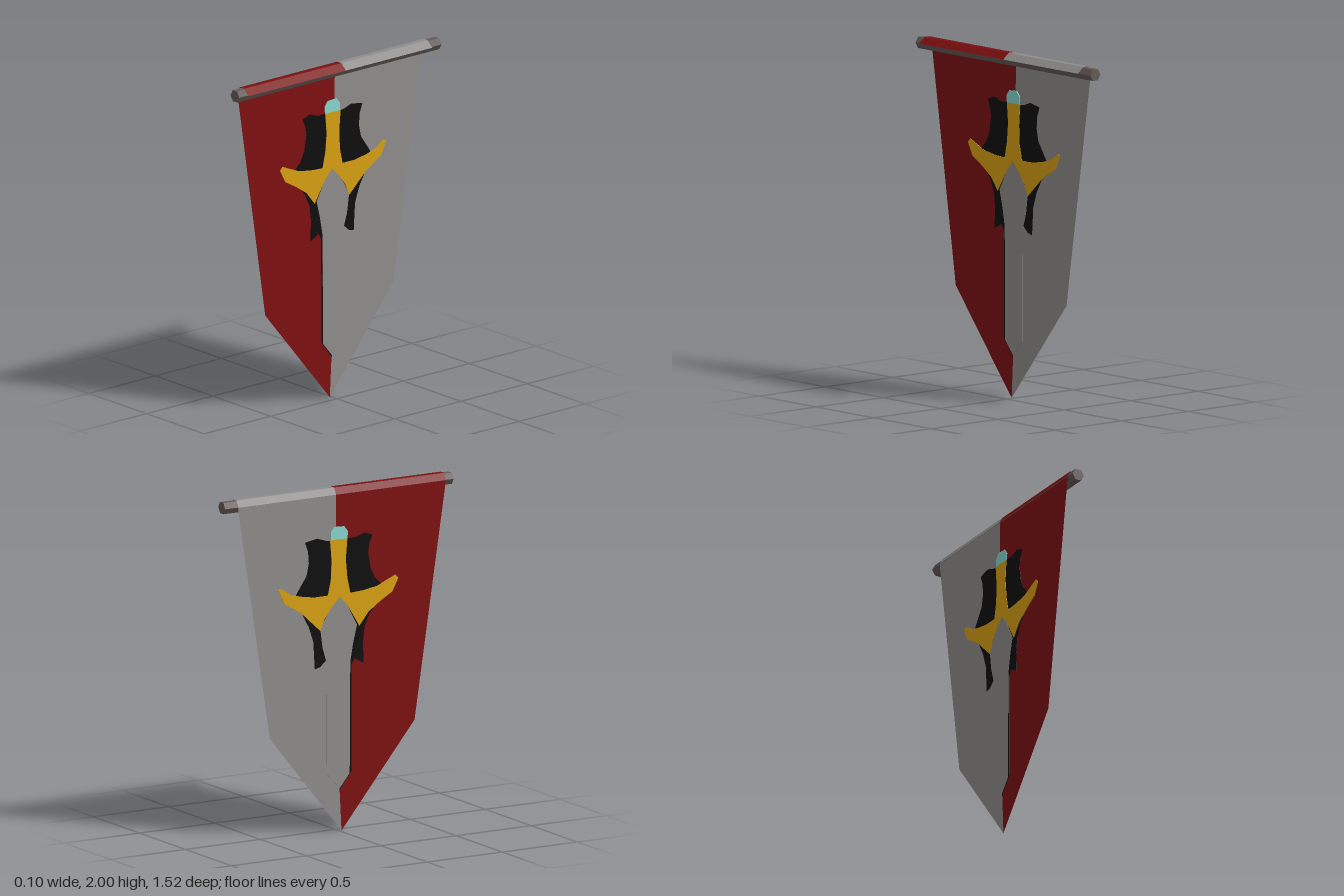
import * as THREE from 'three';

const material = (name, color, side = THREE.FrontSide) => {
  const m = new THREE.MeshStandardMaterial({ color, side });
  m.name = name;
  return m;
};

export function createModel() {
  const group = new THREE.Group();
  group.name = 'hangingBanner';
  const red = material('red cloth', 0x7d0f10, THREE.DoubleSide);
  const grey = material('grey cloth', 0x8f8d8b, THREE.DoubleSide);
  const black = material('black', 0x0e0e0e);
  const gold = material('gold', 0xd8a012);
  const aqua = material('aqua', 0x87d6d0);
  const wood = material('dark wood', 0x645a56);

  const add = (name, geometry, mat) => {
    const mesh = new THREE.Mesh(geometry, mat);
    mesh.name = name;
    group.add(mesh);
    return mesh;
  };
  // Outlines are drawn as [-z, y] and turned into the hanging plane.
  const clothX = -0.046;
  const shapeOf = (pts) => new THREE.Shape(pts.map(([u, y]) => new THREE.Vector2(u, y)));
  const sheet = (name, pts, mat) =>
    add(name, new THREE.ShapeGeometry(shapeOf(pts)).rotateY(Math.PI / 2).translate(clothX, 0, 0), mat);
  // Thin plate passing through the cloth, so it shows on both sides.
  const plate = (name, pts, depth, mat) => {
    const g = new THREE.ExtrudeGeometry(shapeOf(pts), { depth, bevelEnabled: false });
    return add(name, g.rotateY(Math.PI / 2).translate(clothX - depth / 2, 0, 0), mat);
  };

  // Hexagonal pole, flat side up
  const pole = new THREE.CylinderGeometry(0.0375, 0.0375, 1.524, 6).toNonIndexed();
  pole.rotateY(Math.PI / 2).rotateX(Math.PI / 2).translate(-0.0075, 1.962, 0);
  pole.computeVertexNormals();
  add('pole', pole, wood);

  // Cloth folded over the pole, open underneath
  const fold = [[-0.05, 1.962], [-0.027, 2], [0.009, 2], [0.05, 1.965]];
  const wrap = (name, z0, z1, mat) => {
    const g = new THREE.PlaneGeometry(1, 1, 3, 1);
    const p = g.attributes.position;
    for (let i = 0; i < p.count; i++) p.setXYZ(i, ...fold[i % 4], i < 4 ? z0 : z1);
    const flat = g.toNonIndexed();
    flat.computeVertexNormals();
    add(name, flat, mat);
  };
  wrap('redFold', -0.025, 0.708, red);
  wrap('greyFold', -0.676, -0.025, grey);

  // Two-tone hanging cloth with a pointed hem
  const seam = [[0.025, 1.962], [0, 0.25], [-0.013, 0]];
  sheet('redCloth', [...seam, [-0.5, 0.59], [-0.705, 1.93], [-0.708, 1.962]], red);
  sheet('greyCloth', [...seam, [0.465, 0.59], [0.673, 1.93], [0.676, 1.962]], grey);

  // Black shapes behind the sword
  plate('upperShadowLeft', [[-0.22, 1.70], [-0.165, 1.72], [-0.11, 1.70], [-0.03, 1.70], [-0.03, 1.37],
    [-0.16, 1.37], [-0.28, 1.405], [-0.235, 1.45], [-0.205, 1.51], [-0.19, 1.60], [-0.2, 1.66]], 0.004, black);
  plate('upperShadowRight', [[0.04, 1.695], [0.09, 1.70], [0.15, 1.72], [0.23, 1.705], [0.21, 1.65],
    [0.205, 1.58], [0.22, 1.51], [0.295, 1.40], [0.16, 1.37], [0.04, 1.37]], 0.004, black);
  plate('lowerShadowLeft', [[-0.26, 1.32], [-0.195, 1.24], [-0.165, 1.17], [-0.155, 1.08], [-0.16, 0.96],
    [-0.10, 0.995], [-0.078, 0.96], [-0.077, 0.34], [0, 0.24], [0, 1.3]], 0.004, black);
  plate('lowerShadowRight', [[0.05, 1.3], [0.26, 1.31], [0.205, 1.21], [0.175, 1.12], [0.165, 0.96],
    [0.13, 0.97], [0.085, 1.01], [0.05, 1.1]], 0.004, black);

  // Sword blade
  plate('blade', [[0, 1.37], [0.06, 1.31], [0.13, 1.19], [0.115, 1.08], [0.088, 0.99], [0.085, 0.34],
    [0, 0.25], [-0.066, 0.33], [-0.07, 0.98], [-0.09, 1.09], [-0.115, 1.19], [-0.05, 1.31]], 0.006, grey);

  // Grip and swept guard
  plate('hilt', [[-0.05, 1.70], [-0.04, 1.58], [-0.05, 1.47], [-0.07, 1.38], [-0.16, 1.385], [-0.25, 1.40],
    [-0.37, 1.45], [-0.39, 1.43], [-0.35, 1.355], [-0.27, 1.31], [-0.19, 1.255], [-0.13, 1.18],
    [-0.10, 1.23], [-0.05, 1.31], [0, 1.365], [0.055, 1.31], [0.10, 1.25], [0.13, 1.18],
    [0.19, 1.235], [0.26, 1.30], [0.37, 1.365], [0.41, 1.45], [0.39, 1.455], [0.33, 1.415],
    [0.26, 1.395], [0.17, 1.38], [0.08, 1.38], [0.06, 1.47], [0.055, 1.58], [0.065, 1.70]], 0.008, gold);

  // Pommel gem
  plate('pommel', [[-0.05, 1.70], [-0.055, 1.74], [-0.03, 1.772], [0.035, 1.775], [0.06, 1.745], [0.06, 1.70]],
    0.008, aqua);

  return group;
}
